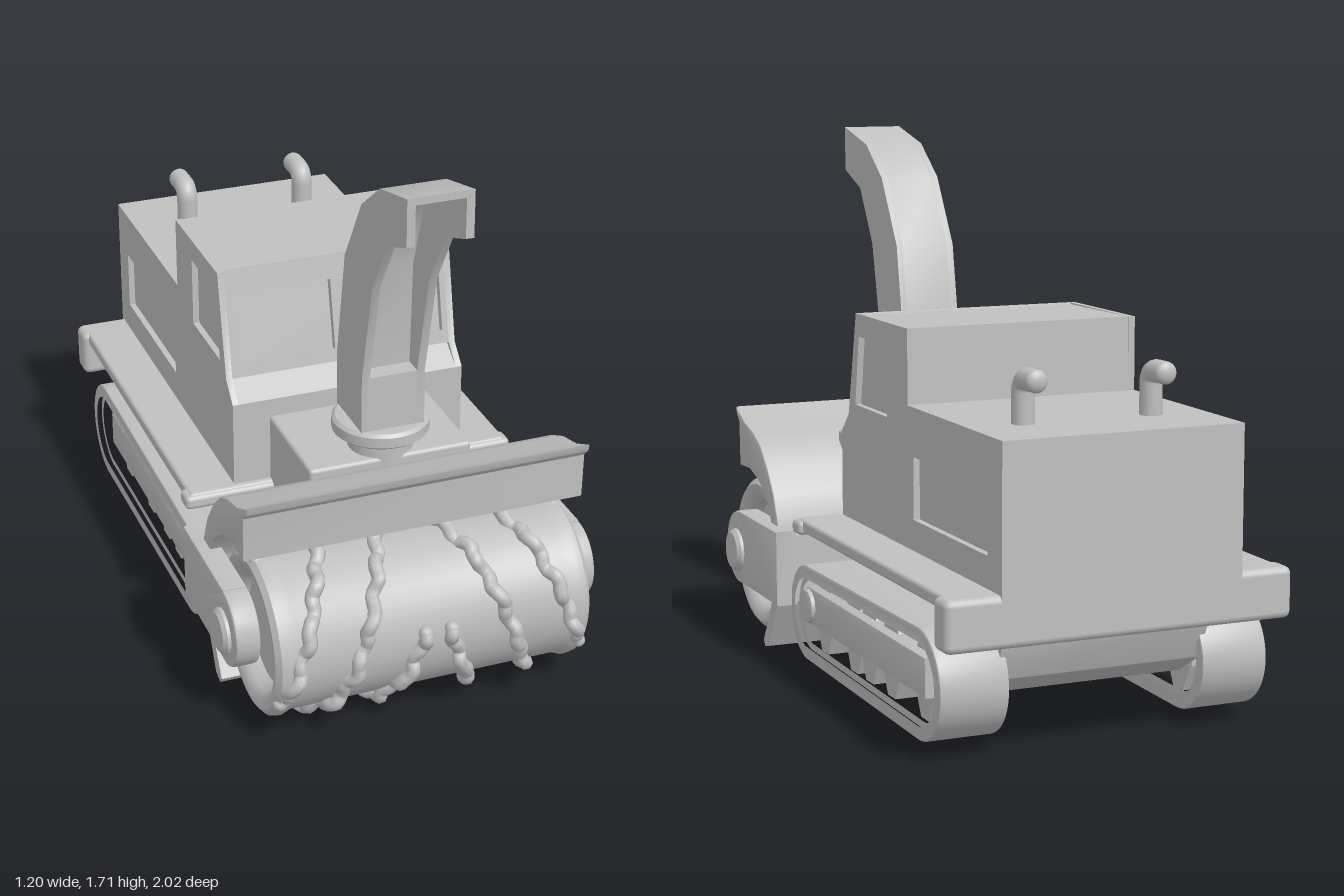
import * as THREE from 'three';
import { RoundedBoxGeometry } from 'three/addons/geometries/RoundedBoxGeometry.js';
import { toCreasedNormals } from 'three/addons/utils/BufferGeometryUtils.js';

const grey = new THREE.MeshStandardMaterial({ color: 0xc0c0c0 });
grey.name = 'plain grey';

const poly = (pts) => new THREE.Shape(pts.map(([a, b]) => new THREE.Vector2(a, b)));

// Outline around two circles (front at +z, rear at -z)
function stadium(f, r, inset = 0) {
  const s = new THREE.Shape();
  s.absarc(f[0], f[1], f[2] - inset, Math.PI / 2, -Math.PI / 2, true);
  s.absarc(r[0], r[1], r[2] - inset, -Math.PI / 2, -Math.PI * 1.5, true);
  s.closePath();
  return s;
}

// Side profile in (z, y), extruded across x from x0 to x1
function across(shape, x0, x1, bevel = 0) {
  const g = new THREE.ExtrudeGeometry(shape, {
    depth: x1 - x0 - 2 * bevel, bevelEnabled: bevel > 0, bevelSize: bevel, bevelOffset: -bevel,
    bevelThickness: bevel, bevelSegments: 2, curveSegments: 20,
  });
  g.rotateY(-Math.PI / 2).translate(x1 - bevel, 0, 0);
  return toCreasedNormals(g, 0.6);
}

function block(x0, x1, y0, y1, z0, z1, r = 0.012) {
  return new RoundedBoxGeometry(x1 - x0, y1 - y0, z1 - z0, 2, r)
    .translate((x0 + x1) / 2, (y0 + y1) / 2, (z0 + z1) / 2);
}

export function createModel() {
  const model = new THREE.Group();
  model.name = 'trackedSnowBlower';
  const add = (name, geo, parent = model) => {
    const m = new THREE.Mesh(geo, grey);
    m.name = name;
    parent.add(m);
    return m;
  };

  // Body core, set in behind the window and panel openings
  add('bodyCore', across(poly([[0.24, 0.48], [0.24, 0.78], [0.16, 0.835], [0.085, 1.165], [-0.31, 1.17],
    [-0.315, 0.94], [-1, 0.94], [-1, 0.48]]), -0.36, 0.36));

  // Side skins with window and engine panel openings
  const skin = poly([[0.24, 0.48], [0.24, 0.78], [0.18, 0.84], [0.11, 1.17], [-0.315, 1.17],
    [-0.315, 0.94], [-1, 0.94], [-1, 0.48]]);
  skin.holes.push(poly([[0.12, 0.88], [0.085, 1.1], [-0.15, 1.1], [-0.15, 0.88]]));
  skin.holes.push(poly([[-0.36, 0.6], [-0.36, 0.79], [-0.9, 0.79], [-0.9, 0.6]]));
  add('leftSkin', across(skin, 0.36, 0.38));
  add('rightSkin', across(skin, -0.38, -0.36));

  // Sloping windscreen frame with two panes
  const slope = Math.hypot(0.07, 0.33);
  const frame = poly([[-0.36, 0], [0.36, 0], [0.36, slope], [-0.36, slope]]);
  for (const s of [-1, 1]) {
    frame.holes.push(poly([[s * 0.02, 0.04], [s * 0.34, 0.04], [s * 0.34, 0.265], [s * 0.02, 0.265]]));
  }
  const screen = new THREE.ExtrudeGeometry(frame, { depth: 0.024, bevelEnabled: false });
  screen.translate(0, 0, -0.024).rotateX(-Math.atan2(0.07, 0.33)).translate(0, 0.84, 0.18);
  add('windscreenFrame', screen);

  // Deck, bumper and lower hull
  add('deck', block(-0.53, 0.53, 0.462, 0.505, -0.99, 0.26));
  add('frontDeckLip', block(-0.545, 0.545, 0.455, 0.5, 0.2, 0.27, 0.015));
  add('rearBumper', block(-0.55, 0.55, 0.35, 0.505, -1, -0.905, 0.022));
  add('lowerHull', across(poly([[0.26, 0.47], [0.26, 0.2], [0.2, 0.15], [-0.72, 0.15], [-0.84, 0.22],
    [-0.91, 0.37], [-0.91, 0.47]]), -0.33, 0.33));

  // Tracks, built for each side
  const front = [0.19, 0.205, 0.155], rear = [-0.735, 0.207, 0.167];
  const belt = stadium(front, rear);
  belt.holes.push(stadium(front, rear, 0.035));
  const rim = stadium(front, rear, 0.03);
  rim.holes.push(stadium(front, rear, 0.052));
  for (const s of [-1, 1]) {
    const track = new THREE.Group();
    track.name = s > 0 ? 'leftTrack' : 'rightTrack';
    model.add(track);
    const side = (name, shape, a, b, bevel = 0) =>
      add(name, across(shape, Math.min(s * a, s * b), Math.max(s * a, s * b), bevel), track);
    side('trackBelt', belt, 0.31, 0.525, 0.008);
    side('trackRim', rim, 0.33, 0.505);
    side('trackBar', poly([[0.24, 0.16], [0.285, 0.19], [0.285, 0.25], [0.24, 0.28], [-0.74, 0.28], [-0.74, 0.16]]),
      0.36, 0.505, 0.008);
    side('barPivot', stadium([0.22, 0.22, 0.055], [0.219, 0.22, 0.055]), 0.36, 0.52, 0.01);
    for (const z of [0.17, -0.09, -0.22, -0.4, -0.66]) {
      side('trackSupport', poly([[z - 0.03, 0.075], [z + 0.03, 0.075], [z + 0.075, 0.165], [z - 0.075, 0.165]]), 0.36, 0.47);
      side('trackUpperSupport', poly([[z - 0.06, 0.275], [z + 0.06, 0.275], [z + 0.03, 0.34], [z - 0.03, 0.34]]), 0.36, 0.47);
    }
  }

  // Front mount and cross beam
  add('frontMount', block(-0.26, 0.26, 0.2, 0.72, 0.2, 0.6));
  add('crossBeam', block(-0.54, 0.54, 0.2, 0.44, 0.33, 0.44));

  // Hood over the drum, and scraper plates below
  add('drumHood', across(poly([[0.835, 0.78], [0.75, 0.74], [0.66, 0.718], [0.59, 0.685], [0.52, 0.62], [0.46, 0.54],
    [0.41, 0.43], [0.41, 0.21], [0.455, 0.21], [0.46, 0.4], [0.52, 0.5], [0.6, 0.56], [0.7, 0.588], [0.8, 0.585],
    [0.805, 0.73], [0.83, 0.755]]), -0.54, 0.54, 0.006));
  for (const s of [-1, 1]) {
    add('scraperPlate', across(poly([[0.4, 0.24], [0.455, 0.24], [0.51, 0.13], [0.575, 0.03], [0.56, 0.01], [0.52, 0.02], [0.46, 0.13]]),
      s > 0 ? 0.065 : -0.54, s > 0 ? 0.54 : -0.065));
  }
  add('scraperWeb', block(-0.1, 0.1, 0.13, 0.26, 0.42, 0.47));

  // Drum with dished ends
  const half = [[0, 0.44], [0.17, 0.44], [0.185, 0.475], [0.205, 0.495], [0.235, 0.5], [0.253, 0.485], [0.257, 0.46], [0.245, 0.43]];
  const outline = [...half.map(([r, x]) => [r, -x]), ...half.slice().reverse()];
  const drum = new THREE.LatheGeometry(outline.map(([r, x]) => new THREE.Vector2(r, x)), 48);
  add('drum', toCreasedNormals(drum.rotateZ(Math.PI / 2).translate(0, 0.29, 0.73), 0.7));

  // Lumpy spiral cutting ribs, three to a side
  for (const s of [-1, 1]) {
    for (let k = 0; k < 3; k++) {
      const pts = [];
      for (let i = 0; i <= 60; i++) {
        const x = 0.035 + (0.445 * i) / 60;
        const a = Math.PI / 2 - ((x - 0.1) / 0.19 + k) * (Math.PI * 2 / 3);
        const r = 0.252 + 0.012 * Math.sin(i * 0.9 + k) + 0.005 * Math.sin(i * 2.3);
        const wob = 0.007 * Math.sin(i * 1.4 + k * 2);
        pts.push(new THREE.Vector3(s * (x + wob), 0.29 + r * Math.sin(a), 0.73 + r * Math.cos(a)));
      }
      const path = new THREE.CatmullRomCurve3(pts);
      add('cuttingRib', new THREE.TubeGeometry(path, 150, 0.022, 8));
      for (const p of [pts[0], pts[60]]) add('ribEnd', new THREE.SphereGeometry(0.022, 10, 8).translate(p.x, p.y, p.z));
    }
  }

  // Arms and hubs holding the drum
  const arm = new THREE.Shape();
  arm.moveTo(0.33, 0.2).lineTo(0.33, 0.445).lineTo(0.72, 0.445);
  arm.absarc(0.72, 0.32, 0.122, Math.PI / 2, -Math.PI / 2, true);
  arm.lineTo(0.62, 0.2);
  arm.closePath();
  for (const s of [-1, 1]) {
    add('drumArm', across(arm, s > 0 ? 0.5 : -0.578, s > 0 ? 0.578 : -0.5, 0.01));
    const hub = new THREE.LatheGeometry([[0, 0], [0.072, 0], [0.072, 0.09], [0.06, 0.102], [0, 0.102]]
      .map(([r, y]) => new THREE.Vector2(r, y)), 28);
    add('armHub', toCreasedNormals(hub.rotateZ(-s * Math.PI / 2).translate(s * 0.498, 0.31, 0.725), 0.5));
  }

  // Chute base
  const ring = new THREE.LatheGeometry([[0, 0.68], [0.1, 0.68], [0.1, 0.765], [0.135, 0.77], [0.148, 0.78], [0.148, 0.812],
    [0.138, 0.822], [0, 0.822]].map(([r, y]) => new THREE.Vector2(r, y)), 36);
  add('chuteFlange', toCreasedNormals(ring.translate(0, 0, 0.505), 0.7));

  // Chute: curved channel, open towards the front
  const back = [[0.4, 0.81], [0.4, 1.0], [0.46, 1.34], [0.59, 1.555], [0.73, 1.66], [0.93, 1.71]];
  const rim2 = [[0.93, 1.565], [0.79, 1.51], [0.68, 1.33], [0.605, 1.0], [0.605, 0.81]];
  const floor = [[0.93, 1.688], [0.74, 1.635], [0.63, 1.535], [0.56, 1.33], [0.545, 1.0], [0.605, 1.0], [0.605, 0.81]];
  add('chuteChannel', across(poly([...back, ...floor]), -0.08, 0.08));
  for (const s of [-1, 1]) {
    add('chuteWall', across(poly([...back, ...rim2]), s > 0 ? 0.075 : -0.1, s > 0 ? 0.1 : -0.075));
  }

  // Bent exhaust pipes
  for (const s of [-1, 1]) {
    const bend = new THREE.CurvePath();
    const v = (y, z) => new THREE.Vector3(s * 0.205, y, z);
    bend.add(new THREE.LineCurve3(v(0.93, -0.757), v(1.03, -0.757)));
    bend.add(new THREE.QuadraticBezierCurve3(v(1.03, -0.757), v(1.073, -0.757), v(1.073, -0.8)));
    bend.add(new THREE.LineCurve3(v(1.073, -0.8), v(1.073, -0.845)));
    add('exhaustPipe', new THREE.TubeGeometry(bend, 30, 0.034, 16));
    add('exhaustTip', new THREE.SphereGeometry(0.034, 16, 12).scale(1, 1, 0.6).translate(s * 0.205, 1.073, -0.845));
  }

  return model;
}
